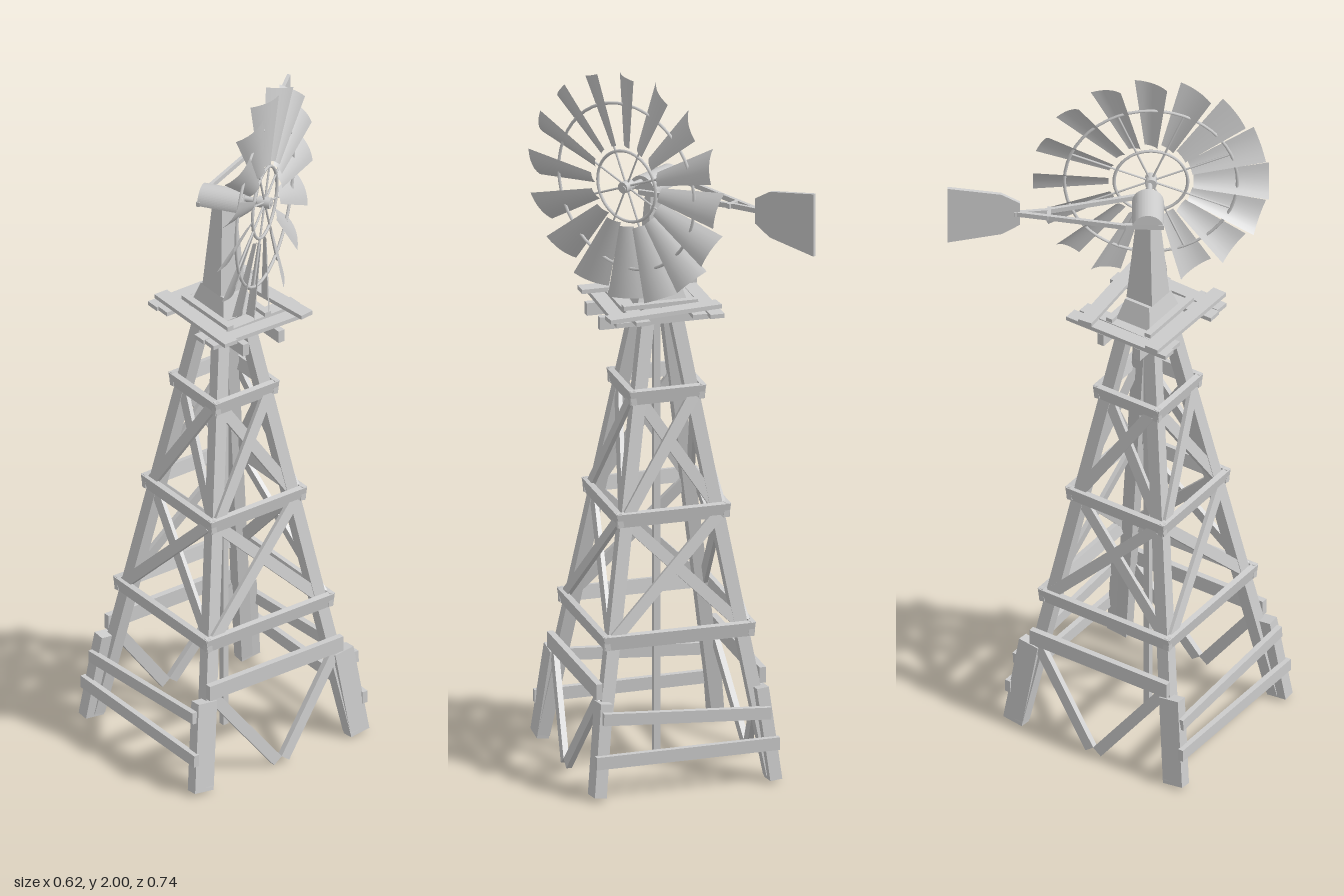
import * as THREE from 'three';

const CX = 0.005, CZ = 0.075;            // tower axis
const LEG_TOP = 1.32;
const legHalf = y => 0.25 + (0.035 - 0.25) * y / LEG_TOP; // leg centre distance from the axis

const V = (x, y, z) => new THREE.Vector3(x, y, z);
const flat = new THREE.MeshStandardMaterial({ color: 0xcccccc, flatShading: true });
const smooth = new THREE.MeshStandardMaterial({ color: 0xcccccc });
const thin = new THREE.MeshStandardMaterial({ color: 0xcccccc, side: THREE.DoubleSide });

function add(parent, name, geometry, material = flat) {
  const m = new THREE.Mesh(geometry, material);
  m.name = name;
  parent.add(m);
  return m;
}

// straight timber from a to b; depth is measured along the "out" direction
function beam(parent, name, a, b, width, depth, out) {
  const dir = b.clone().sub(a);
  const len = dir.length();
  dir.normalize();
  const z = out.clone().addScaledVector(dir, -out.dot(dir)).normalize();
  const x = dir.clone().cross(z);
  const m = add(parent, name, new THREE.BoxGeometry(width, len, depth));
  m.quaternion.setFromRotationMatrix(new THREE.Matrix4().makeBasis(x, dir, z));
  m.position.copy(a).add(b).multiplyScalar(0.5);
  return m;
}

// four-sided tapered block
function frustum(parent, name, halfBottom, halfTop, y0, y1, zScale = 1) {
  const g = new THREE.CylinderGeometry(halfTop * Math.SQRT2, halfBottom * Math.SQRT2, y1 - y0, 4);
  g.rotateY(Math.PI / 4);
  g.scale(1, 1, zScale);
  const m = add(parent, name, g);
  m.position.y = (y0 + y1) / 2;
  return m;
}

function buildTower() {
  const tower = new THREE.Group();
  tower.name = 'tower';
  tower.position.set(CX, 0, CZ);

  // corner legs and the thicker feet bolted to them
  for (const sx of [-1, 1]) for (const sz of [-1, 1]) {
    const at = y => V(sx * legHalf(y), y, sz * legHalf(y));
    beam(tower, 'leg', at(0.01), at(LEG_TOP), 0.036, 0.036, V(0, 0, 1));
    beam(tower, 'foot', V(sx * 0.25, 0.003, sz * 0.263), V(sx * 0.222, 0.26, sz * 0.23), 0.034, 0.062, V(0, 0, 1));
  }

  // collars and cross braces on the four faces
  const levels = [0.42, 0.75, 1.08];
  for (let i = 0; i < 4; i++) {
    const face = new THREE.Group();
    face.name = 'towerFace';
    face.rotation.y = i * Math.PI / 2;
    tower.add(face);
    const p = (s, y, off, extra = 0) => V(s * (legHalf(y) + extra), y, legHalf(y) + off);
    levels.forEach((y, k) => {
      beam(face, 'collar', p(-1, y, 0.024, 0.032), p(1, y, 0.024, 0.032), 0.04, 0.016, V(0, 0.16, -1));
      const top = levels[k + 1];
      if (!top) return;
      beam(face, 'crossBrace', p(-1, y + 0.01, 0.022), p(1, top - 0.01, 0.022), 0.032, 0.012, V(0, 0.16, 1));
      beam(face, 'crossBrace', p(1, y + 0.01, 0.01), p(-1, top - 0.01, 0.01), 0.032, 0.012, V(0, 0.16, 1));
    });
  }

  // lower boards on front and back
  for (const s of [-1, 1]) {
    beam(tower, 'lowerBoard', V(-0.26, 0.11, s * 0.284), V(0.26, 0.106, s * 0.284), 0.036, 0.016, V(0, 0, 1));
    beam(tower, 'slantedBoard', V(-0.24, 0.195, s * 0.272), V(0.236, 0.226, s * 0.272), 0.034, 0.016, V(0, 0, 1));
  }

  // side boards with a V brace reaching the ground
  for (const s of [-1, 1]) {
    beam(tower, 'sideBoard', V(s * 0.232, 0.288, -0.225), V(s * 0.232, 0.288, 0.225), 0.045, 0.018, V(1, 0, 0));
    for (const e of [-1, 1])
      beam(tower, 'footBrace', V(s * 0.256, 0.012, e * 0.012), V(s * 0.226, 0.265, e * 0.205), 0.032, 0.016, V(1, 0, 0));
  }

  // pump rod
  add(tower, 'pumpRod', new THREE.BoxGeometry(0.018, 1.34, 0.018)).position.y = 0.67;
  return tower;
}

function buildPlatform() {
  const platform = new THREE.Group();
  platform.name = 'platform';
  const up = V(0, 1, 0);
  // carrying beams
  for (const z of [0.015, 0.135])
    beam(platform, 'platformBeam', V(-0.135, 1.292, z), V(0.187, 1.292, z), 0.02, 0.036, up);
  // planks along z, then along x on top
  for (const [x, dx, z0, z1] of [[-0.115, 0, -0.098, 0.228], [-0.07, -0.006, -0.085, 0.222],
    [0.095, 0.005, -0.098, 0.23], [0.15, -0.008, -0.09, 0.225]])
    beam(platform, 'plank', V(x, 1.317, z0), V(x + dx, 1.317, z1), 0.04, 0.012, up);
  for (const [z0, z1] of [[-0.035, -0.07], [0.183, 0.186], [0.012, 0.012], [0.138, 0.138]]) {
    const inner = z0 > 0 && z0 < 0.15;
    beam(platform, 'plank', V(inner ? -0.09 : -0.138, 1.329, z0), V(inner ? 0.12 : 0.188, 1.329, z1),
      inner ? 0.02 : 0.042, 0.012, up);
  }
  return platform;
}

// cambered blade, widening outward, pitched about its radius
function bladeGeometry() {
  const r0 = 0.115, r1 = 0.32;
  const g = new THREE.PlaneGeometry(1, 1, 6, 3);
  const pos = g.attributes.position;
  for (let i = 0; i < pos.count; i++) {
    const u = pos.getX(i) * 2, t = pos.getY(i) + 0.5;
    const half = 0.02 + 0.031 * t;
    pos.setXYZ(i, 0.22 * half * (1 - u * u), r0 + (r1 - r0) * t, u * half);
  }
  g.computeVertexNormals();
  g.rotateY(-Math.PI / 6);
  return g;
}

function buildWheel() {
  const wheel = new THREE.Group();
  wheel.name = 'windWheel';
  const blade = bladeGeometry();
  const count = 16;
  for (let i = 0; i < count; i++)
    add(wheel, 'blade', blade, thin).rotation.x = i * 2 * Math.PI / count;
  for (const [name, r] of [['innerRing', 0.1], ['outerRing', 0.235]])
    add(wheel, name, new THREE.TorusGeometry(r, 0.0045, 6, 48), smooth).rotation.y = Math.PI / 2;
  // spokes and hub
  const spoke = new THREE.CylinderGeometry(0.003, 0.003, 0.225, 6);
  spoke.translate(0, 0.1225, 0);
  for (let i = 0; i < 8; i++)
    add(wheel, 'spoke', spoke, smooth).rotation.x = (i + 0.5) * Math.PI / 4;
  add(wheel, 'hub', new THREE.CylinderGeometry(0.016, 0.016, 0.035, 16), smooth).rotation.z = Math.PI / 2;
  return wheel;
}

function buildHead() {
  const head = new THREE.Group();
  head.name = 'head';
  head.position.set(CX, 1.65, CZ);
  head.rotation.y = 0.598;
  // half-round gear housing, flat side down
  const s = new THREE.Shape();
  s.absarc(0, 0, 0.043, 0, Math.PI, false);
  s.closePath();
  const g = new THREE.ExtrudeGeometry(s, { depth: 0.125, bevelEnabled: false, curveSegments: 16 });
  g.translate(0, 0, -0.0625);
  g.rotateY(Math.PI / 2);
  add(head, 'gearHousing', g);
  const shaft = add(head, 'shaft', new THREE.CylinderGeometry(0.008, 0.008, 0.1, 12), smooth);
  shaft.rotation.z = Math.PI / 2;
  shaft.position.set(0.09, 0.026, 0.004);
  const wheel = buildWheel();
  wheel.position.set(0.12, 0.028, 0.008);
  head.add(wheel);
  return head;
}

function buildTail() {
  const tail = new THREE.Group();
  tail.name = 'tail';
  const y = 1.655, up = V(0, 1, 0);
  const rod = (x0, z0, x1, z1) => beam(tail, 'tailBoom', V(x0, y, z0), V(x1, y, z1), 0.01, 0.014, up);
  rod(-0.02, 0.145, -0.078, 0.055);
  rod(-0.078, 0.06, -0.195, -0.22);
  rod(0.072, 0.022, -0.14, -0.16);
  rod(-0.14, -0.158, -0.2, -0.225);
  rod(-0.165, -0.135, -0.125, -0.16);
  // flared vane
  const outline = [[0, -0.036], [0.05, -0.066], [0.197, -0.09], [0.197, 0.09], [0.05, 0.066], [0, 0.036]];
  const shape = new THREE.Shape(outline.map(([u, v]) => new THREE.Vector2(u, v)));
  const g = new THREE.ExtrudeGeometry(shape, { depth: 0.01, bevelEnabled: false });
  g.translate(0, 0, -0.005);
  const vane = add(tail, 'tailVane', g);
  vane.position.set(-0.188, y, -0.214);
  vane.rotation.y = Math.atan2(0.804, -0.594);
  return tail;
}

export function createModel() {
  const model = new THREE.Group();
  model.name = 'windpump';
  const mast = new THREE.Group();
  mast.name = 'mast';
  mast.position.set(CX, 0, CZ);
  frustum(mast, 'mastBase', 0.072, 0.052, 1.325, 1.385, 0.76);
  frustum(mast, 'mastPost', 0.042, 0.022, 1.385, 1.652);
  model.add(buildTower(), buildPlatform(), mast, buildHead(), buildTail());
  return model;
}
